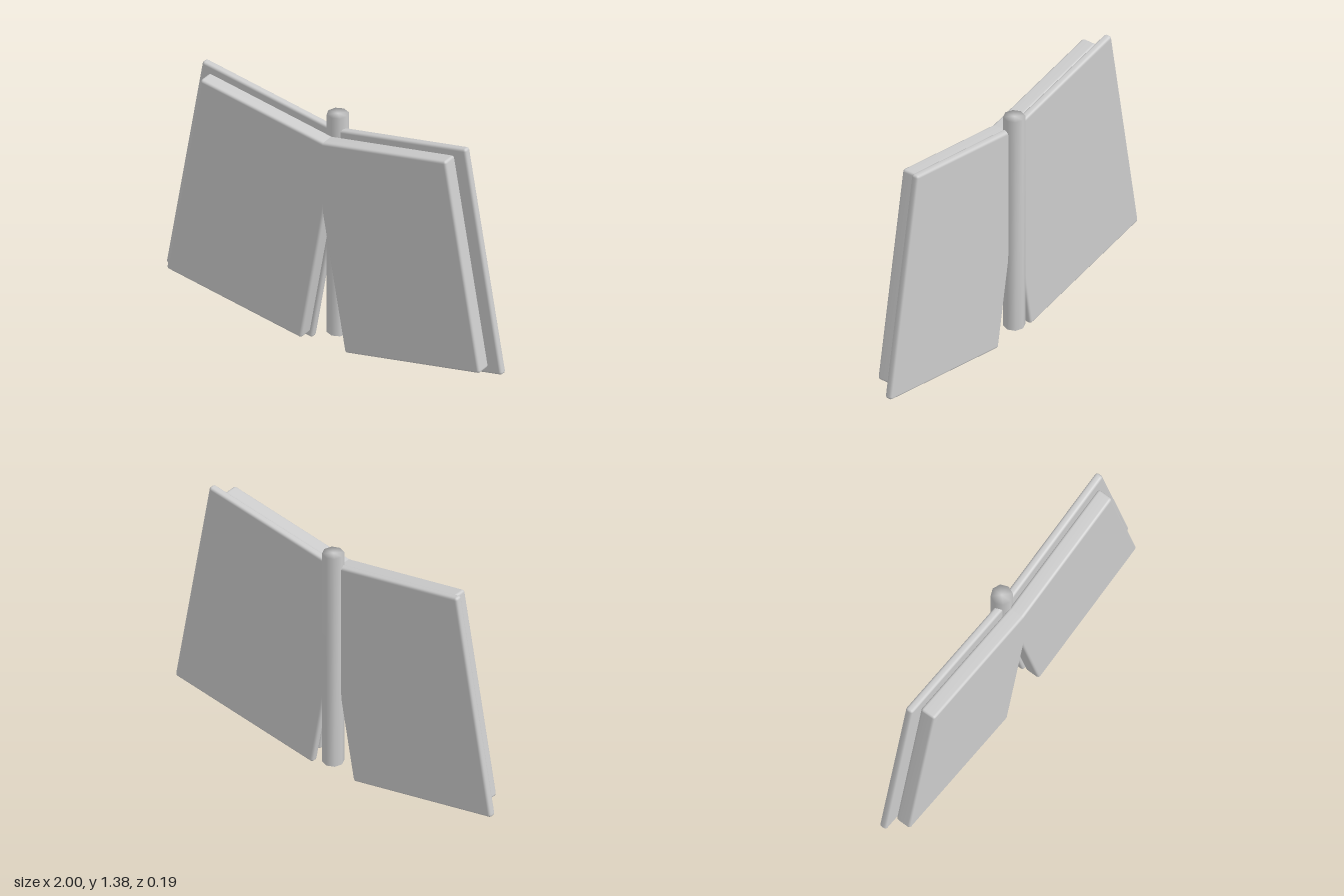
import * as THREE from 'three';
import { mergeVertices } from 'three/addons/utils/BufferGeometryUtils.js';
import { RoundedBoxGeometry } from 'three/addons/geometries/RoundedBoxGeometry.js';

const TILT = THREE.MathUtils.degToRad(10);

// Share vertices so the shading runs smoothly over every edge
function smooth(geometry) {
  geometry.deleteAttribute('normal');
  geometry.deleteAttribute('uv');
  const merged = mergeVertices(geometry, 1e-5);
  merged.computeVertexNormals();
  return merged;
}

export function createModel() {
  const book = new THREE.Group();
  book.name = 'openBook';
  const grey = new THREE.MeshStandardMaterial({ color: 0xcccccc });
  grey.name = 'plain grey';

  const add = (name, geometry, x, y, z, tilt = 0) => {
    const mesh = new THREE.Mesh(geometry, grey);
    mesh.name = name;
    mesh.position.set(x, y, z);
    mesh.rotation.z = tilt;
    book.add(mesh);
  };

  // Thin covers and thicker page blocks, leaning together at the top
  const cover = smooth(new RoundedBoxGeometry(0.886, 1.252, 0.042, 2, 0.015));
  const pages = smooth(new RoundedBoxGeometry(0.818, 1.175, 0.086, 2, 0.015));
  for (const [side, s] of [['left', 1], ['right', -1]]) {
    add(side + 'Cover', cover, s * 0.4575, 0.691, -0.023, s * TILT);
    add(side + 'Pages', pages, s * 0.43, 0.695, 0.053, s * TILT);
  }

  // Eight-sided spine rod, upright behind the covers
  const spine = smooth(new THREE.CylinderGeometry(0.056, 0.056, 1.255, 8));
  add('spine', spine, 0, 0.694, -0.039);

  return book;
}
